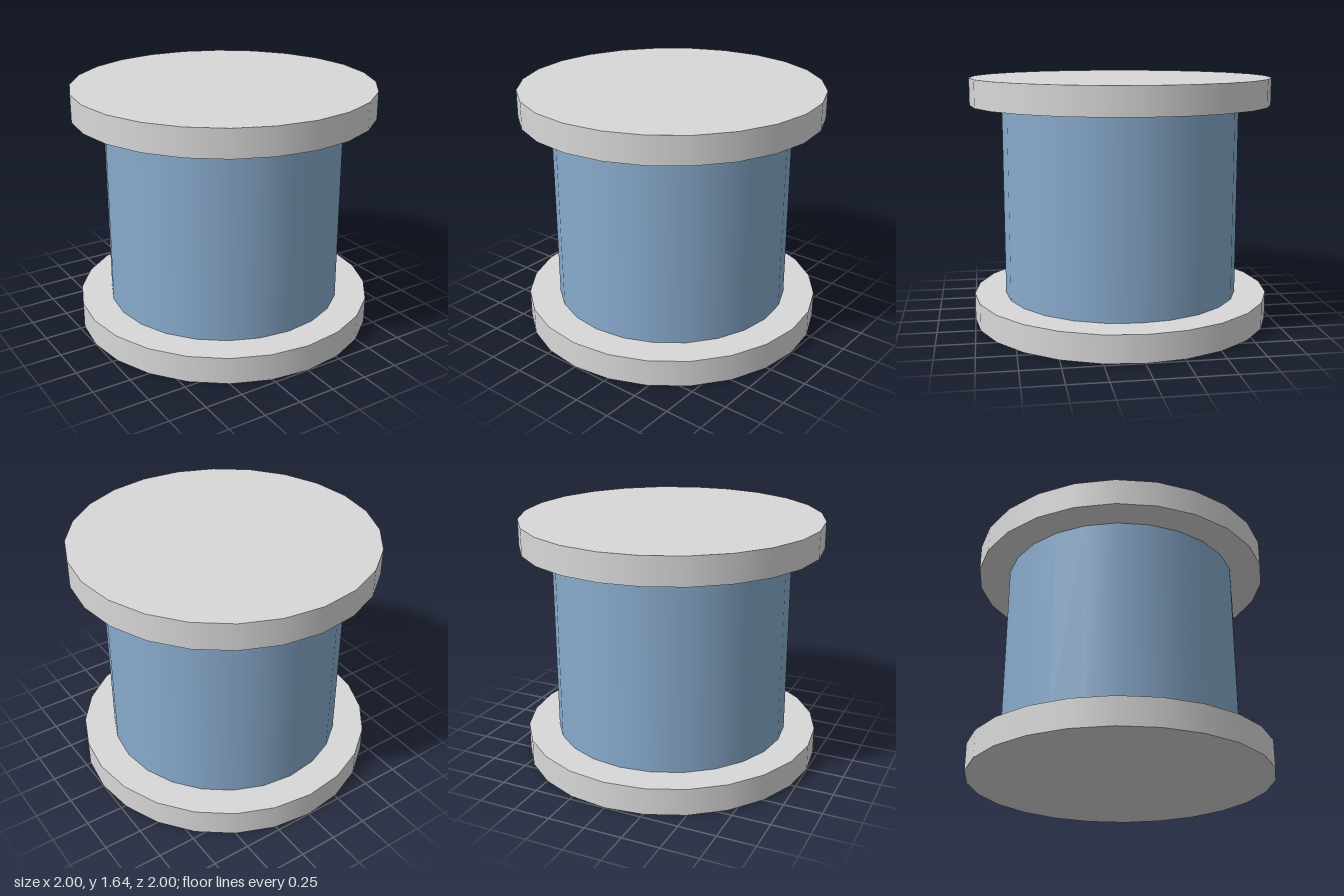
import * as THREE from 'three';

export function createModel() {
  const model = new THREE.Group();
  model.name = 'spool';

  const flangeGrey = new THREE.MeshStandardMaterial({ color: 0xd8d8d8 });
  flangeGrey.name = 'flange grey';
  const drumBlue = new THREE.MeshStandardMaterial({ color: 0x88aacc });
  drumBlue.name = 'drum blue';

  const SIDES = 24;
  const HEIGHT = 1.64;
  const FLANGE = 0.18;

  // Upright disc or drum standing between two heights
  function addCylinder(name, radius, bottom, top, material) {
    const geometry = new THREE.CylinderGeometry(radius, radius, top - bottom, SIDES);
    const mesh = new THREE.Mesh(geometry, material);
    mesh.name = name;
    mesh.position.y = (bottom + top) / 2;
    model.add(mesh);
  }

  // End flanges
  addCylinder('bottomFlange', 1, 0, FLANGE, flangeGrey);
  addCylinder('topFlange', 1, HEIGHT - FLANGE, HEIGHT, flangeGrey);

  // Wound drum between the flanges
  addCylinder('drum', 0.79, FLANGE, HEIGHT - FLANGE, drumBlue);

  return model;
}
